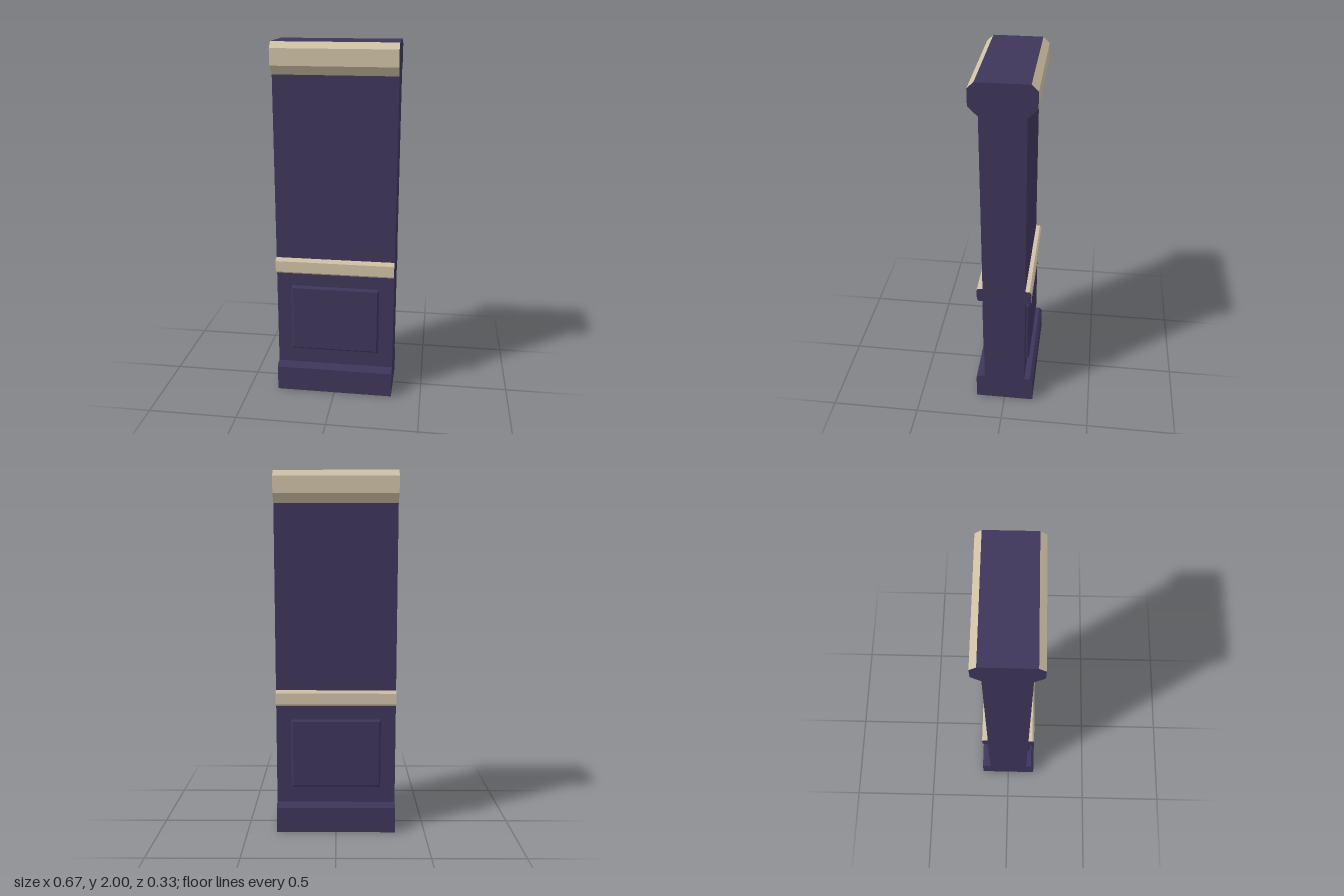
import * as THREE from 'three';

const HALF_W = 0.333;

// Half cross-section as [z, y] points, rising from floor to top, split by colour
const BASE = [[0.167, 0], [0.167, 0.145], [0.15, 0.162], [0.117, 0.162], [0.117, 0.728]];
const RAIL = [[0.117, 0.728], [0.14, 0.728], [0.15, 0.738], [0.15, 0.8], [0.14, 0.812], [0.117, 0.812]];
const UPPER = [[0.117, 0.812], [0.117, 1.83]];
const CORNICE = [[0.117, 1.83], [0.167, 1.88], [0.167, 1.968], [0.133, 2]];

// Flat-faced band that sweeps a run of [z, y] points across the full width
function band(points) {
  const pos = [];
  for (let i = 0; i < points.length - 1; i++) {
    const [z0, y0] = points[i];
    const [z1, y1] = points[i + 1];
    const a = [-HALF_W, y0, z0], b = [HALF_W, y0, z0];
    const c = [HALF_W, y1, z1], d = [-HALF_W, y1, z1];
    pos.push(...a, ...b, ...c, ...a, ...c, ...d);
  }
  const g = new THREE.BufferGeometry();
  g.setAttribute('position', new THREE.Float32BufferAttribute(pos, 3));
  g.computeVertexNormals();
  return g;
}

export function createModel() {
  const purple = new THREE.MeshStandardMaterial({ color: 0x3e365b });
  purple.name = 'dark purple paint';
  const tan = new THREE.MeshStandardMaterial({ color: 0xcfc2a6 });
  tan.name = 'cream trim';

  const model = new THREE.Group();
  model.name = 'panelledWall';
  const add = (parent, name, geometry, material) => {
    const mesh = new THREE.Mesh(geometry, material);
    mesh.name = name;
    parent.add(mesh);
    return mesh;
  };

  // Raised panel with chamfered rim
  const rim = 0.01;
  const rect = new THREE.Shape();
  rect.moveTo(-0.24, 0.265);
  rect.lineTo(0.24, 0.265);
  rect.lineTo(0.24, 0.635);
  rect.lineTo(-0.24, 0.635);
  const panel = new THREE.ExtrudeGeometry(rect, {
    depth: 0.02, bevelEnabled: true, bevelThickness: rim, bevelSize: rim, bevelSegments: 1,
  });
  panel.translate(0, 0, 0.136 - 0.02 - rim);

  // Both long faces are the same, the back one turned around
  for (const [side, angle] of [['front', 0], ['back', Math.PI]]) {
    const face = new THREE.Group();
    face.name = side + 'Face';
    face.rotation.y = angle;
    add(face, 'skirtingAndDado', band(BASE), purple);
    add(face, 'chairRail', band(RAIL), tan);
    add(face, 'upperWall', band(UPPER), purple);
    add(face, 'cornice', band(CORNICE), tan);
    add(face, 'raisedPanel', panel, purple);
    model.add(face);
  }

  // Top and underside
  add(model, 'top', band([[0.133, 2], [-0.133, 2]]), purple);
  add(model, 'underside', band([[-0.167, 0], [0.167, 0]]), purple);

  // Ends, cut to the whole cross-section
  const half = [...BASE, ...RAIL.slice(1), ...UPPER.slice(1), ...CORNICE.slice(1)];
  const outline = [
    ...half.map(([z, y]) => new THREE.Vector2(z, y)),
    ...[...half].reverse().map(([z, y]) => new THREE.Vector2(-z, y)),
  ];
  const end = new THREE.ShapeGeometry(new THREE.Shape(outline));
  for (const [name, s] of [['leftEnd', 1], ['rightEnd', -1]]) {
    const mesh = add(model, name, end, purple);
    mesh.rotation.y = s * Math.PI / 2;
    mesh.position.x = s * HALF_W;
  }
  return model;
}
